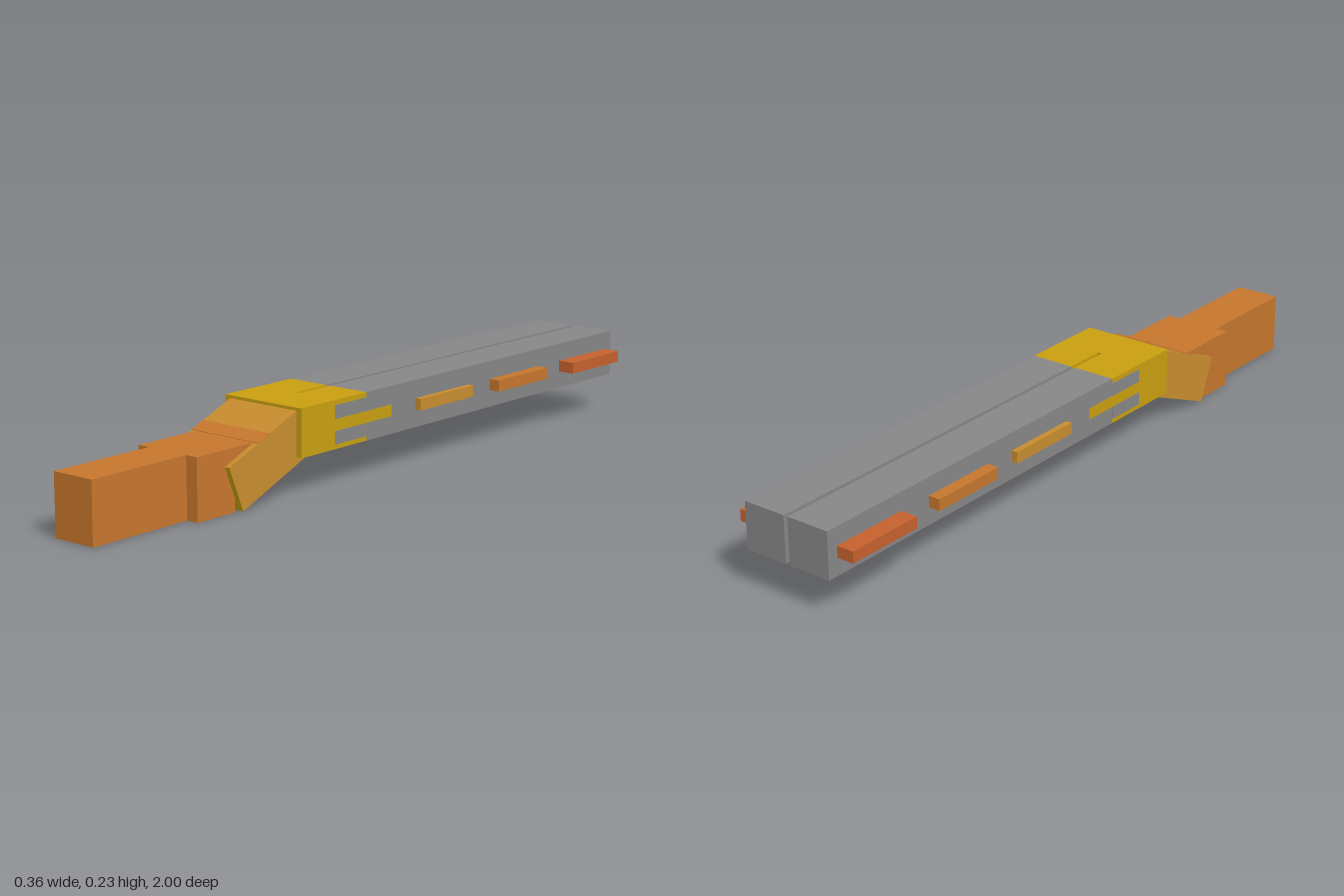
import * as THREE from 'three';

const mat = (name, color) => new THREE.MeshStandardMaterial({ name, color });

export function createModel() {
  const grey = mat('grey', 0x868686);
  const yellow = mat('yellow', 0xc89e0f);
  const gold = mat('gold', 0xc68c2e);
  const orange = mat('orange', 0xc5762d);
  const red = mat('red', 0xc5602d);
  const model = new THREE.Group();
  model.name = 'model';

  // Box given by its extents on each axis
  const box = (name, m, [x0, x1], [y0, y1], [z0, z1], parent = model) => {
    const mesh = new THREE.Mesh(new THREE.BoxGeometry(x1 - x0, y1 - y0, z1 - z0), m);
    mesh.position.set((x0 + x1) / 2, (y0 + y1) / 2, (z0 + z1) / 2);
    mesh.name = name;
    parent.add(mesh);
    return mesh;
  };
  // Side profile in (z, y), extruded across x
  const slab = (name, m, pts, halfWidth) => {
    const shape = new THREE.Shape(pts.map(([z, y]) => new THREE.Vector2(-z, y)));
    const geo = new THREE.ExtrudeGeometry(shape, { depth: halfWidth * 2, bevelEnabled: false });
    geo.translate(0, 0, -halfWidth).rotateY(Math.PI / 2);
    const mesh = new THREE.Mesh(geo, m);
    mesh.name = name;
    model.add(mesh);
    return mesh;
  };

  const Y = [0.1, 0.227], W = 0.129, GAP = 0.006;
  const span = (s, a, b) => (s > 0 ? [a, b] : [-b, -a]);

  // Split barrel with the receiver wrapped around its front end
  box('receiver', yellow, [-W, W], Y, [0.22, 0.35]);
  for (const s of [1, -1]) {
    box('barrelRail', grey, span(s, GAP, W), Y, [-1, 0.1]);
    box('receiverFork', yellow, span(s, GAP, W), Y, [0.1, 0.22]);
    // Inlaid side stripes
    const plate = span(s, W - 0.004, W + 0.0008);
    box('greyStripe', grey, plate, [0.178, 0.214], [0.1, 0.22]);
    box('greyStripe', grey, plate, [0.112, 0.147], [0.1, 0.22]);
    box('yellowStripe', yellow, plate, [0.147, 0.178], [0, 0.1]);
    // Side fins, wider toward the back
    [[gold, 0.146, -0.1], [orange, 0.162, -0.42], [red, 0.178, -0.745]].forEach(([m, x, z]) =>
      box('sideFin', m, span(s, 0.12, x), [0.147, 0.178], [z - 0.224, z]));
  }

  // Sloping grip block with a yellow end face
  slab('gripBlock', gold, [[0.35, 0.219], [0.593, 0.12], [0.545, 0.002], [0.3, 0.102], [0.3, 0.219]], 0.113);
  const tilt = Math.atan2(0.048, 0.118);
  const endFace = box('gripEndFace', yellow, [-0.113, 0.113], [0, 0.127], [0, 0.002]);
  endFace.position.set(0, 0.061, 0.569);
  endFace.rotation.x = tilt;
  // Orange band across the slope
  const band = box('gripBand', orange, [-0.113, 0.113], [0, 0.002], [0, 0.045]);
  band.position.set(0, 0.1705, 0.47);
  band.rotation.x = tilt;

  // Stock
  box('stockBase', orange, [-0.098, 0.098], [0, 0.162], [0.56, 0.69]);
  slab('stockRoot', orange, [[0.49, 0.162], [0.565, 0.162], [0.565, 0.06], [0.49, 0.06]], 0.098);
  box('stockEnd', orange, [-0.063, 0.063], [0, 0.162], [0.69, 1]);

  // Trigger guard and trigger
  slab('triggerGuard', gold,
    [[0.48, 0.046], [0.277, 0.046], [0.258, 0.102], [0.246, 0.102], [0.268, 0.036], [0.48, 0.036]], 0.02);
  slab('trigger', gold, [[0.36, 0.09], [0.312, 0.076], [0.31, 0.068], [0.37, 0.078]], 0.01);
  return model;
}
